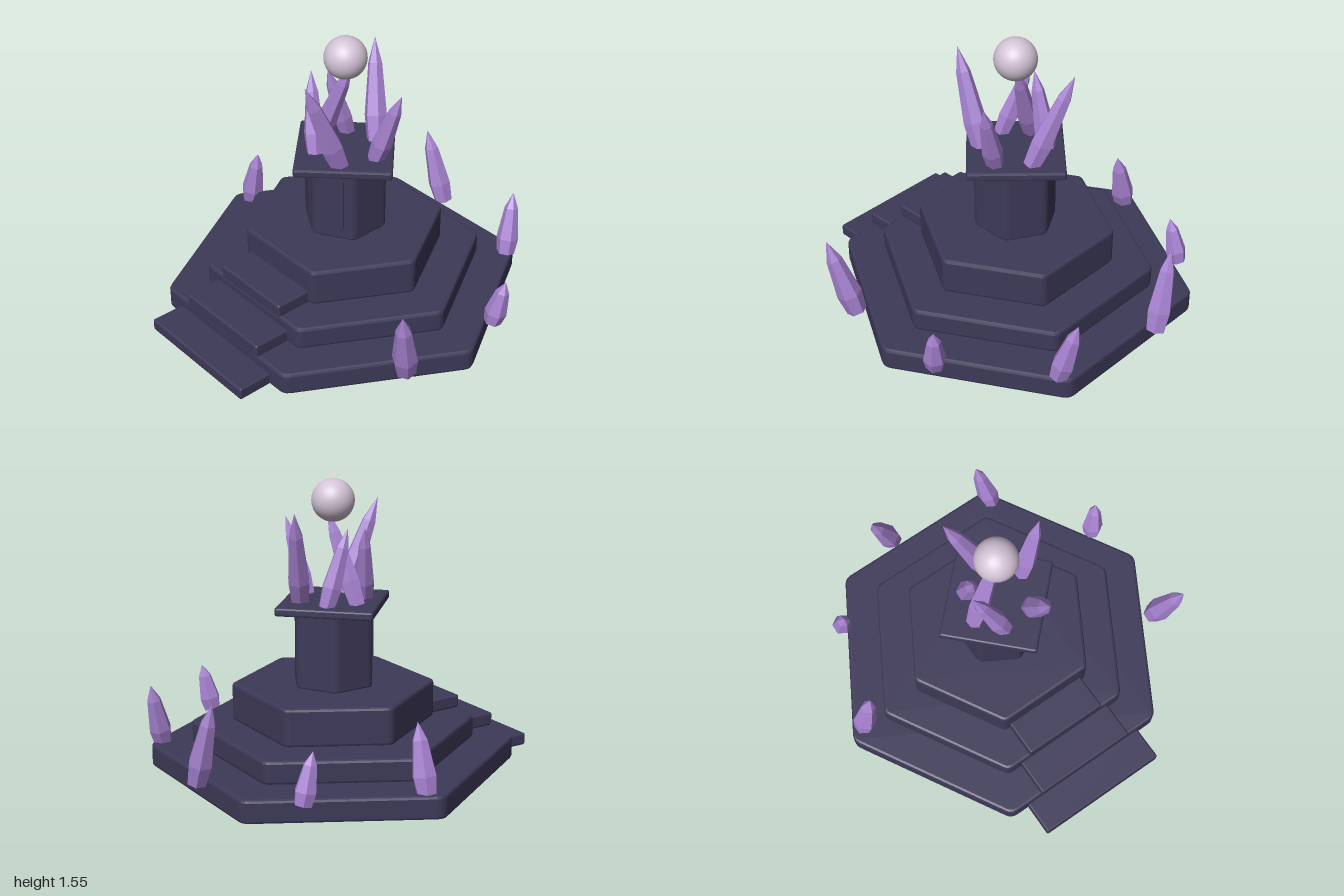
import * as THREE from 'three';
import { RoundedBoxGeometry } from 'three/addons/geometries/RoundedBoxGeometry.js';

const stone = new THREE.MeshStandardMaterial({ color: 0x3d3958 });
stone.name = 'dark stone';
const violet = new THREE.MeshStandardMaterial({ color: 0xa883d2 });
violet.name = 'violet crystal';
violet.flatShading = true;
const pearl = new THREE.MeshStandardMaterial({ color: 0xd3c3d6 });
pearl.name = 'pale pearl';

const CZ = -0.04; // centre of the shrine in z

function add(group, name, geometry, material, x = 0, y = 0, z = 0) {
  const mesh = new THREE.Mesh(geometry, material);
  mesh.name = name;
  mesh.position.set(x, y, z);
  group.add(mesh);
  return mesh;
}

// Upright prism with bevelled rims and slightly rounded corners
function prism(sides, radius, height, bevel, corner, turn = 0) {
  const r = radius - bevel / Math.cos(Math.PI / sides);
  const pts = [];
  for (let i = 0; i < sides; i++) {
    const a = turn + (i / sides) * Math.PI * 2;
    pts.push(new THREE.Vector2(Math.cos(a) * r, Math.sin(a) * r));
  }
  const shape = new THREE.Shape();
  pts.forEach((p, i) => {
    const prev = pts[(i + sides - 1) % sides];
    const next = pts[(i + 1) % sides];
    const a = p.clone().lerp(prev, corner);
    const b = p.clone().lerp(next, corner);
    if (i === 0) shape.moveTo(a.x, a.y);
    else shape.lineTo(a.x, a.y);
    shape.quadraticCurveTo(p.x, p.y, b.x, b.y);
  });
  shape.closePath();
  const geo = new THREE.ExtrudeGeometry(shape, {
    depth: height - 2 * bevel, bevelEnabled: true, bevelSize: bevel,
    bevelThickness: bevel, bevelSegments: 2, curveSegments: 3,
  });
  geo.translate(0, 0, bevel);
  geo.rotateX(-Math.PI / 2);
  return geo;
}

// Six-sided pointed crystal running from base to tip
function crystal(group, name, base, tip, radius) {
  const from = new THREE.Vector3(...base);
  const dir = new THREE.Vector3(...tip).sub(from);
  const len = dir.length();
  const profile = [[0, 0], [0.8, 0], [1, 0.25], [0.62, 0.75], [0, 1]]
    .map(([r, t]) => new THREE.Vector2(r * radius, t * len));
  const mesh = add(group, name, new THREE.LatheGeometry(profile, 6), violet, ...base);
  mesh.quaternion.setFromUnitVectors(new THREE.Vector3(0, 1, 0), dir.normalize());
}

export function createModel() {
  const model = new THREE.Group();
  model.name = 'crystalShrine';

  // Three stacked hexagonal tiers: radius, bottom, top
  [[0.985, 0, 0.125], [0.765, 0.125, 0.25], [0.545, 0.25, 0.455]].forEach(([r, y0, y1], i) => {
    add(model, `tier${i + 1}`, prism(6, r, y1 - y0, 0.015, 0.03), stone, 0, y0, CZ);
  });

  // Front steps: half width, bottom, top, back, front
  [[0.38, 0, 0.068, 0.79, 1], [0.295, 0.125, 0.198, 0.6, 0.825], [0.24, 0.25, 0.322, 0.41, 0.63]]
    .forEach(([w, y0, y1, z0, z1], i) => {
      add(model, `step${i + 1}`, new RoundedBoxGeometry(w * 2, y1 - y0, z1 - z0, 2, 0.012),
        stone, 0, (y0 + y1) / 2, (z0 + z1) / 2);
    });

  // Pillar with a raised panel on each front face
  add(model, 'pillar', prism(6, 0.232, 0.42, 0.012, 0.1, Math.PI / 6), stone, 0, 0.45, CZ);
  for (const s of [-1, 1]) {
    const a = s * Math.PI / 6;
    const panel = add(model, 'pillarPanel', new THREE.BoxGeometry(0.115, 0.3, 0.012), stone,
      Math.sin(a) * 0.203, 0.67, CZ + Math.cos(a) * 0.203);
    panel.rotation.y = a;
  }

  // Diamond-shaped altar plate
  add(model, 'altarPlate', prism(4, 0.365, 0.045, 0.01, 0.01), stone, 0, 0.863, CZ);

  // Floating orb
  add(model, 'orb', new THREE.SphereGeometry(0.113, 32, 24), pearl, 0, 1.435, CZ);

  // Crystals standing on the altar: base, tip, radius
  [
    [[0.055, 0.9, -0.21], [-0.11, 1.41, -0.345], 0.062],
    [[0.19, 0.9, -0.08], [0.325, 1.31, -0.13], 0.055],
    [[0.115, 0.9, 0.1], [0.08, 1.41, 0.3], 0.062],
    [[-0.06, 0.9, 0.12], [-0.19, 1.31, 0.03], 0.055],
    [[-0.12, 0.9, -0.16], [-0.14, 1.31, -0.04], 0.055],
    [[-0.17, 0.9, 0], [0.02, 1.39, -0.065], 0.055],
  ].forEach(([b, t, r]) => crystal(model, 'altarCrystal', b, t, r));

  // Crystals around the rim of the lowest tier
  [
    [[-0.89, 0.115, -0.08], [-0.81, 0.465, -0.08], 0.065],
    [[0.855, 0.11, 0.31], [0.935, 0.55, 0.42], 0.068],
    [[0.87, 0.11, -0.31], [0.91, 0.37, -0.35], 0.06],
    [[-0.67, 0.11, -0.655], [-0.66, 0.37, -0.59], 0.058],
    [[-0.125, 0.11, -0.94], [-0.25, 0.55, -0.91], 0.066],
    [[0.495, 0.115, -0.815], [0.45, 0.46, -0.9], 0.062],
  ].forEach(([b, t, r]) => crystal(model, 'rimCrystal', b, t, r));

  return model;
}
